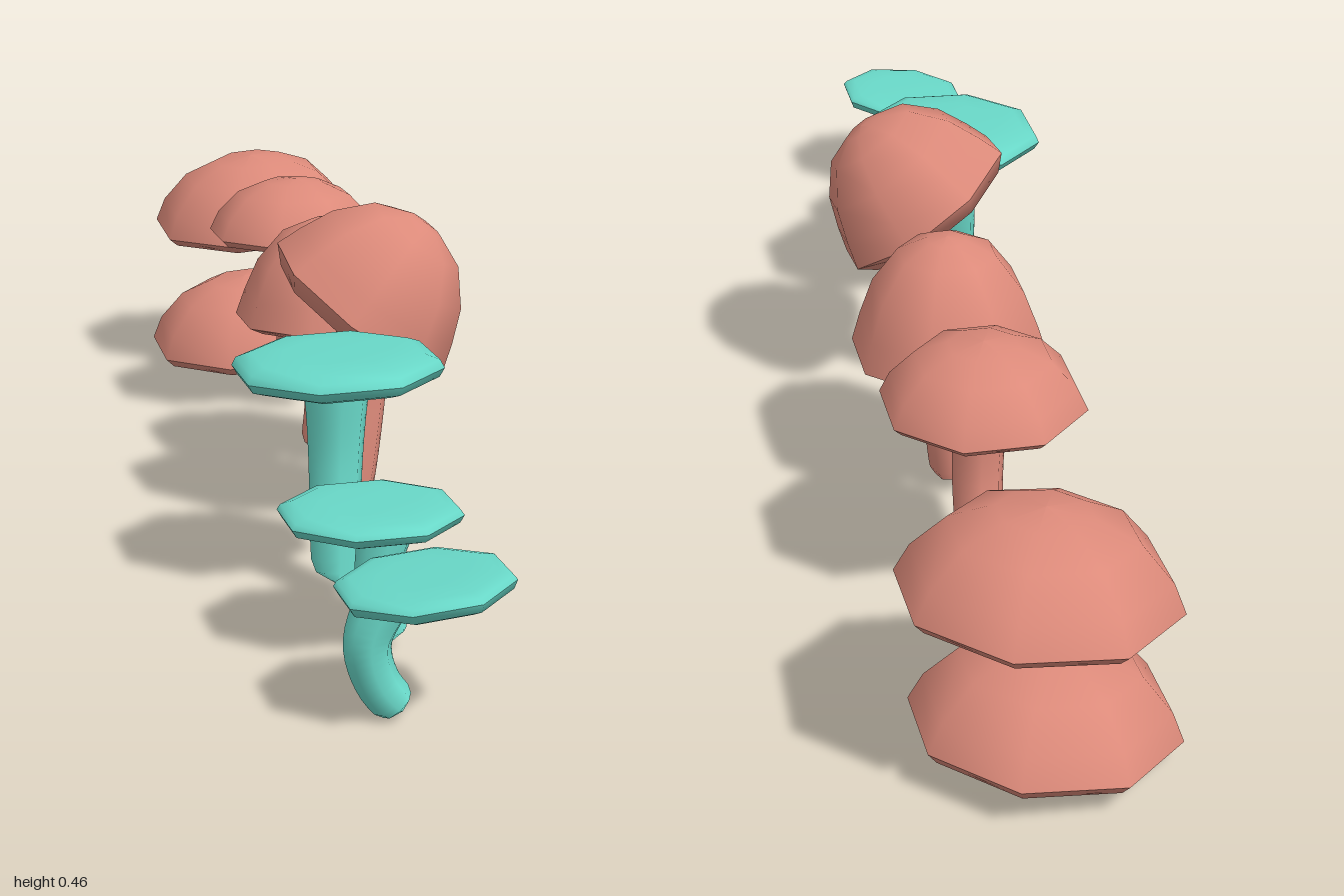
import * as THREE from 'three';

const teal = new THREE.MeshStandardMaterial({ color: 0x69d8c8 });
const coral = new THREE.MeshStandardMaterial({ color: 0xdc8a7a });
const SIDES = 8;

// Cap profiles: [fraction of radius, fraction of height], rim to crown, and centre to rim below
const CROWN = {
  flat: [[1, 0], [0.96, 0.5], [0.82, 0.85], [0.5, 1], [0, 1]],
  dome: [[1, 0], [0.9, 0.33], [0.66, 0.72], [0.34, 0.94], [0, 1]],
  bell: [[1, 0], [0.91, 0.25], [0.77, 0.56], [0.5, 0.86], [0.2, 0.98], [0, 1]],
};
const UNDER = {
  flat: [[0, 1], [0.4, 1], [0.8, 0.8], [0.95, 0.5], [1, 0]],
  dome: [[0, 1], [0.6, 1], [0.92, 0.75], [1, 0]],
  bell: [[0, 1], [0.5, 1], [0.84, 0.9], [1, 0]],
};

function lathe(profile, r, h) {
  const points = profile.map(([a, b]) => new THREE.Vector2(a * r, b * h));
  return new THREE.LatheGeometry(points, SIDES, Math.PI / SIDES);
}

// Eight-sided cap, with a separate underside so the rim stays crisp
function makeCap({ shape, at, r, up, down, tilt = [0, 0], lean = 0, turn = 0.07, mat }) {
  const cap = new THREE.Group();
  cap.name = 'cap';
  const top = lathe(CROWN[shape], r, up).rotateY(turn);
  const pos = top.attributes.position;
  for (let i = 0; i < pos.count; i++) pos.setZ(i, pos.getZ(i) + lean * pos.getY(i));
  const crown = new THREE.Mesh(top, mat);
  crown.name = 'crown';
  const under = new THREE.Mesh(lathe(UNDER[shape], r, -down).rotateY(turn), mat);
  under.name = 'underside';
  cap.add(crown, under);
  cap.position.set(...at);
  cap.rotation.set(tilt[0], 0, tilt[1]);
  return cap;
}

// Curved stem, flared under the cap and rounded off at the foot
function makeStem(path, r, flare, mat) {
  const curve = new THREE.CatmullRomCurve3(path.map((p) => new THREE.Vector3(...p)));
  const rows = 16;
  const geo = new THREE.TubeGeometry(curve, rows, r, SIDES);
  const pos = geo.attributes.position;
  const v = new THREE.Vector3();
  for (let i = 0; i <= rows; i++) {
    const t = i / rows;
    const centre = curve.getPointAt(t);
    const foot = t > 0.85 ? Math.sqrt(Math.max(0, 1 - ((t - 0.85) / 0.15) ** 2)) : 1;
    const scale = (1 + flare * (1 - t) ** 3) * foot;
    for (let j = 0; j <= SIDES; j++) {
      const k = i * (SIDES + 1) + j;
      v.fromBufferAttribute(pos, k).sub(centre).multiplyScalar(scale).add(centre);
      pos.setXYZ(k, v.x, v.y, v.z);
    }
  }
  const stem = new THREE.Mesh(geo, mat);
  stem.name = 'stem';
  return stem;
}

const mushrooms = [
  { name: 'smallFlatMushroom', mat: teal, shape: 'flat', at: [-0.027, 0.163, 0.892], r: 0.108, up: 0.012, down: 0.022, tilt: [0, 0.1],
    stem: [[-0.07, 0.15, 0.88], [-0.092, 0.09, 0.88], [-0.08, 0.04, 0.88], [-0.05, 0.002, 0.882]], sr: 0.027, flare: 0.35 },
  { name: 'mediumFlatMushroom', mat: teal, shape: 'flat', at: [-0.047, 0.171, 0.645], r: 0.118, up: 0.014, down: 0.02, tilt: [0, 0.02],
    stem: [[-0.025, 0.16, 0.645], [-0.038, 0.09, 0.647], [-0.034, 0.05, 0.652], [-0.02, 0.005, 0.658]], sr: 0.027, flare: 0.45 },
  { name: 'largeFlatMushroom', mat: teal, shape: 'flat', at: [-0.049, 0.297, 0.41], r: 0.142, up: 0.022, down: 0.024, tilt: [0, 0.03],
    stem: [[-0.05, 0.285, 0.412], [-0.052, 0.18, 0.415], [-0.055, 0.09, 0.43], [-0.055, 0.008, 0.445]], sr: 0.034, flare: 0.35 },
  { name: 'tiltedBellMushroom', mat: coral, shape: 'bell', at: [0.03, 0.31, 0.135], r: 0.148, up: 0.152, down: 0.026, tilt: [0.15, -0.63],
    stem: [[0.035, 0.32, 0.13], [0.032, 0.2, 0.14], [0.02, 0.1, 0.155], [0.005, 0.018, 0.165]], sr: 0.033, flare: 0.3 },
  { name: 'bellMushroom', mat: coral, shape: 'bell', at: [0.03, 0.224, -0.165], r: 0.141, up: 0.16, down: 0.012, lean: 0.18,
    stem: [[0.03, 0.225, -0.165], [0.032, 0.15, -0.166], [0.03, 0.08, -0.166], [0.022, 0.008, -0.165]], sr: 0.034, flare: 0.12 },
  { name: 'domeMushroom', mat: coral, shape: 'dome', at: [0.023, 0.298, -0.45], r: 0.139, up: 0.088, down: 0.014,
    stem: [[0.025, 0.295, -0.445], [0.03, 0.18, -0.45], [0.028, 0.09, -0.475], [0.02, 0.005, -0.515]], sr: 0.033, flare: 0.15 },
  // Stemless shelf caps at the back
  { name: 'upperShelfCap', mat: coral, shape: 'dome', at: [0.01, 0.246, -0.825], r: 0.178, up: 0.114, down: 0.018, tilt: [0.08, 0.08] },
  { name: 'lowerShelfCap', mat: coral, shape: 'dome', at: [-0.005, 0.038, -0.798], r: 0.174, up: 0.113, down: 0.02, tilt: [0.08, 0.08] },
];

export function createModel() {
  const model = new THREE.Group();
  model.name = 'mushroomRow';
  for (const m of mushrooms) {
    const group = new THREE.Group();
    group.name = m.name;
    group.add(makeCap(m));
    if (m.stem) group.add(makeStem(m.stem, m.sr, m.flare, m.mat));
    model.add(group);
  }
  return model;
}
